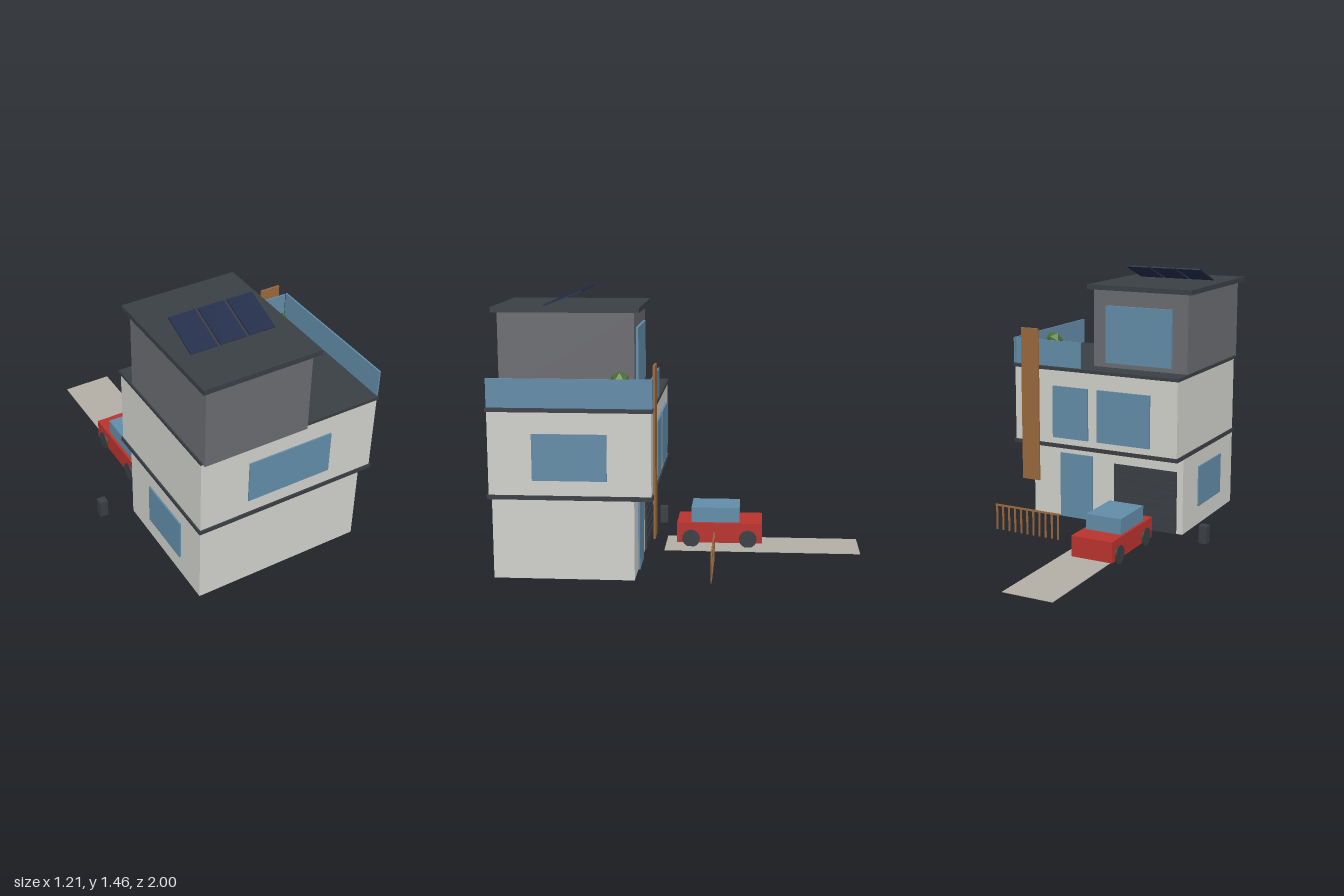
import * as THREE from 'three';

const mat = (name, color) => Object.assign(new THREE.MeshStandardMaterial({ color }), { name });

export function createModel() {
  const model = new THREE.Group();
  model.name = 'house';
  const wall = mat('offWhiteWall', 0xd0d0cb);
  const upper = mat('greyWall', 0x6a6b70);
  const dark = mat('charcoal', 0x3a3f45);
  const glass = mat('blueGlass', 0x628ca8);
  const wood = mat('wood', 0x98683c);
  const red = mat('redPaint', 0xb8332d);
  const solar = mat('solarBlue', 0x1f2a48);
  const paving = mat('paving', 0xb2aea5);
  const leaf = mat('leaf', 0x4a6e2e);

  const add = (parent, name, geometry, material) => {
    const mesh = new THREE.Mesh(geometry, material);
    mesh.name = name;
    parent.add(mesh);
    return mesh;
  };
  // Box given by its lowest and highest coordinates
  const box = (name, material, x0, x1, y0, y1, z0, z1, parent = model) => {
    const mesh = add(parent, name, new THREE.BoxGeometry(x1 - x0, y1 - y0, z1 - z0), material);
    mesh.position.set((x0 + x1) / 2, (y0 + y1) / 2, (z0 + z1) / 2);
    return mesh;
  };

  // Storeys and slabs
  box('groundFloor', wall, -0.427, 0.53, 0, 0.44, 0.2, 0.935);
  box('middleSlab', dark, -0.435, 0.605, 0.44, 0.462, 0.098, 0.943);
  box('middleFloor', wall, -0.427, 0.597, 0.462, 0.89, 0.106, 0.935);
  box('terraceSlab', dark, -0.435, 0.605, 0.89, 0.908, 0.098, 0.943);
  box('topFloor', upper, -0.427, 0.15, 0.9, 1.348, 0.235, 0.97);
  box('topRoof', dark, -0.457, 0.18, 1.348, 1.375, 0.205, 1);

  // Windows and door
  box('rearWindow', glass, -0.155, 0.325, 0.54, 0.78, 0.934, 0.942);
  box('sideWindow', glass, 0.596, 0.605, 0.54, 0.78, 0.33, 0.71);
  box('groundSideWindow', glass, -0.435, -0.426, 0.11, 0.347, 0.41, 0.74);
  box('narrowWindow', glass, 0.12, 0.345, 0.5, 0.8, 0.094, 0.107);
  box('wideWindow', glass, -0.265, 0.06, 0.5, 0.8, 0.094, 0.107);
  box('topWindow', glass, -0.335, 0.07, 0.935, 1.26, 0.222, 0.236);
  box('door', glass, 0.14, 0.35, 0, 0.385, 0.19, 0.201);

  // Garage door with raised slats
  const garage = new THREE.Group();
  garage.name = 'garageDoor';
  model.add(garage);
  box('garagePanel', dark, -0.39, 0, 0, 0.36, 0.194, 0.201, garage);
  for (let i = 0; i < 6; i++) {
    const y = 0.005 + i * 0.06;
    box('garageSlat', dark, -0.387, -0.003, y, y + 0.05, 0.189, 0.195, garage);
  }

  // Terrace: glass railings, planter and bush
  box('frontRailing', glass, 0.165, 0.585, 0.912, 1.06, 0.1, 0.108);
  box('sideRailing', glass, 0.593, 0.602, 0.912, 1.06, 0.1, 0.935);
  box('planter', dark, 0.395, 0.478, 0.908, 0.982, 0.237, 0.318);
  add(model, 'bush', new THREE.IcosahedronGeometry(0.051, 0), leaf).position.set(0.437, 1.03, 0.277);

  // Tall timber fin
  box('timberFin', wood, 0.435, 0.547, 0.23, 1.122, 0.09, 0.101);

  // Tilted solar panels
  for (let i = 0; i < 3; i++) {
    const panel = add(model, 'solarPanel', new THREE.BoxGeometry(0.143, 0.007, 0.228), solar);
    panel.position.set(-0.298 + i * 0.159, 1.415, 0.627);
    panel.rotation.x = 0.36;
  }

  // Picket fence
  const fence = new THREE.Group();
  fence.name = 'fence';
  model.add(fence);
  box('fenceRail', wood, 0.14, 0.555, 0.14, 0.15, -0.199, -0.191, fence);
  for (let i = 0; i < 11; i++) {
    const x = 0.149 + i * 0.0397;
    box('picket', wood, x - 0.005, x + 0.005, 0, 0.145, -0.198, -0.192, fence);
  }

  // Driveway and bin
  box('driveway', paving, -0.28, 0.005, 0.001, 0.004, -1, 0.09);
  box('bin', dark, -0.608, -0.562, 0, 0.1, 0.114, 0.16);

  // Car
  const car = new THREE.Group();
  car.name = 'car';
  model.add(car);
  box('carBody', red, -0.32, -0.08, 0.026, 0.14, -0.456, 0.024, car);
  box('carCabin', glass, -0.305, -0.1, 0.14, 0.225, -0.328, -0.056, car);
  const wheelShape = new THREE.CylinderGeometry(0.05, 0.05, 0.03, 20).rotateZ(Math.PI / 2);
  for (const x of [-0.312, -0.089]) {
    for (const z of [-0.376, -0.055]) {
      add(car, 'wheel', wheelShape, dark).position.set(x, 0.05, z);
    }
  }
  return model;
}
